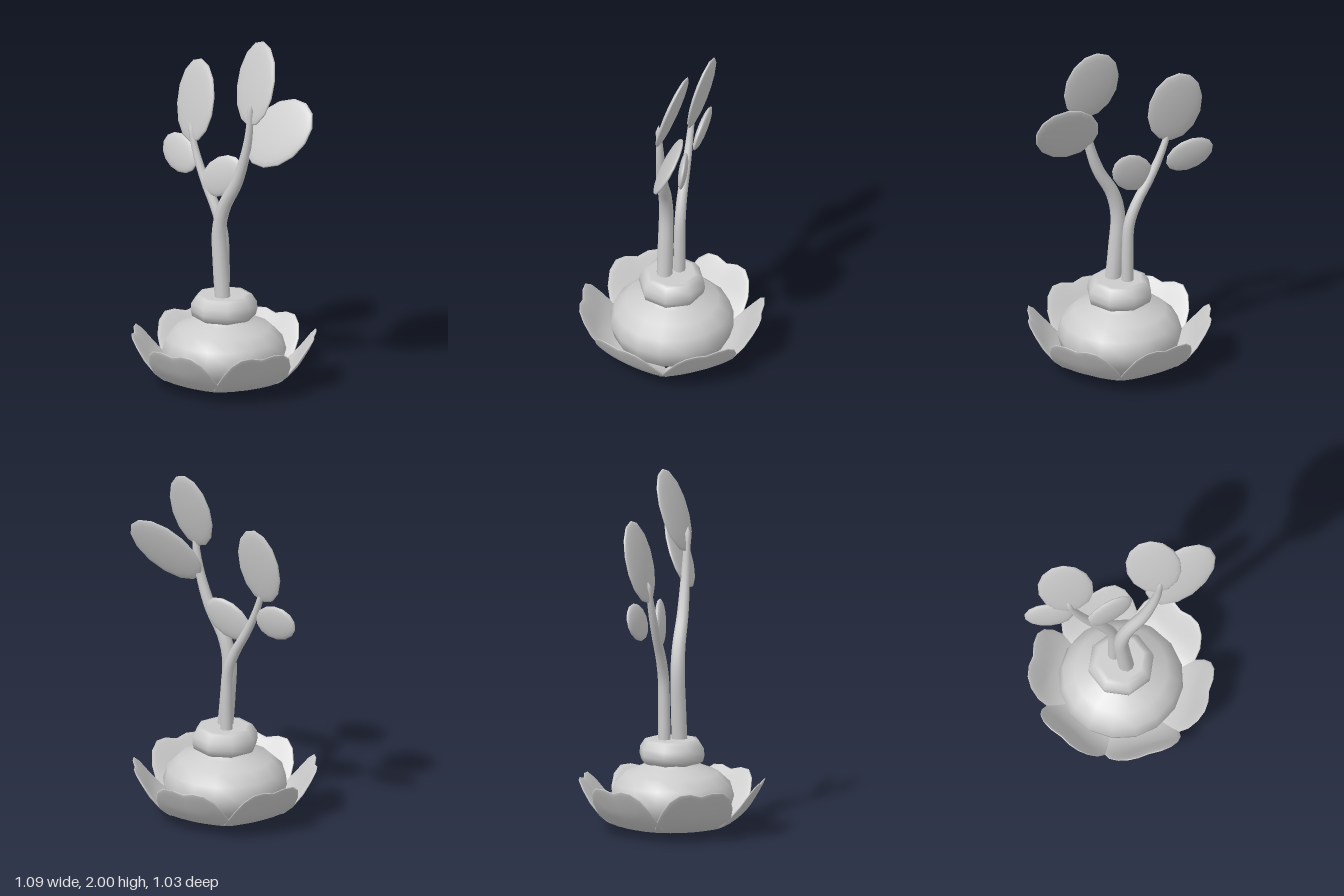
import * as THREE from 'three';
import { mergeVertices } from 'three/addons/utils/BufferGeometryUtils.js';

const material = new THREE.MeshStandardMaterial({ color: 0xcccccc });
const CENTRE_X = -0.018;

function addMesh(parent, name, geometry) {
  const mesh = new THREE.Mesh(geometry, material);
  mesh.name = name;
  parent.add(mesh);
  return mesh;
}

// Moves every vertex by a rule, then rebuilds seamless smooth normals.
function reshape(geometry, rule) {
  geometry.deleteAttribute('uv');
  geometry.deleteAttribute('normal');
  const result = mergeVertices(geometry, 1e-5);
  const pos = result.attributes.position;
  const v = new THREE.Vector3();
  for (let i = 0; i < pos.count; i++) {
    rule(v.fromBufferAttribute(pos, i));
    pos.setXYZ(i, v.x, v.y, v.z);
  }
  result.computeVertexNormals();
  return result;
}

function lathe(points, sides) {
  return new THREE.LatheGeometry(points.map(([r, y]) => new THREE.Vector2(r, y)), sides);
}

// Heart-tipped petal: a flattened ball bent along a rising curve.
function petalGeometry() {
  const curve = new THREE.CatmullRomCurve3([
    [0.17, 0.03], [0.30, 0.055], [0.40, 0.13], [0.46, 0.215], [0.51, 0.293],
  ].map(([r, y]) => new THREE.Vector3(0, y, r)));
  return reshape(new THREE.SphereGeometry(1, 20, 14), (v) => {
    const x = v.x;
    const z = v.z > 0 ? v.z * (1 + 0.55 * Math.abs(x)) : v.z;
    const s = THREE.MathUtils.clamp((z / 1.09 + 1) / 2, 0, 1);
    const p = curve.getPointAt(s);
    const t = curve.getTangentAt(s);
    const thick = 0.016 * v.y;
    v.set(x * 0.22, p.y + t.z * thick, p.z - t.y * thick - 0.015 * x * x);
  });
}

// Thick oval leaf: flattened ball, turned in the front plane, then leaned in depth.
function leafGeometry({ long, wide, turn, leanX, leanY }) {
  const ball = new THREE.SphereGeometry(1, 14, 10).rotateX(Math.PI / 2);
  const c = Math.cos(turn), s = Math.sin(turn);
  return reshape(ball, (v) => {
    const a = v.x * long, b = v.y * wide;
    const x = a * c - b * s, y = a * s + b * c;
    v.set(x, y, v.z * 0.025 + leanX * x + leanY * y);
  });
}

// Tapering stem with a rounded, closed tip.
function stemGeometry(points, baseRadius, tipRadius) {
  const path = new THREE.CatmullRomCurve3(points.map((p) => new THREE.Vector3(...p)));
  const rows = 28, sides = 10;
  const tube = new THREE.TubeGeometry(path, rows, 1, sides);
  const pos = tube.attributes.position;
  const v = new THREE.Vector3();
  for (let i = 0; i <= rows; i++) {
    const t = i / rows;
    const centre = path.getPointAt(t);
    const radius = i === rows ? 0 : THREE.MathUtils.lerp(baseRadius, tipRadius, t * t);
    for (let j = 0; j <= sides; j++) {
      const k = i * (sides + 1) + j;
      v.fromBufferAttribute(pos, k).sub(centre).multiplyScalar(radius).add(centre);
      pos.setXYZ(k, v.x, v.y, v.z);
    }
  }
  return reshape(tube, () => {});
}

export function createModel() {
  const model = new THREE.Group();
  model.name = 'sprout';

  // Bulb and the faceted collar on top of it
  const bulb = addMesh(model, 'bulb', lathe([
    [0, 0], [0.13, 0.008], [0.25, 0.04], [0.325, 0.11], [0.348, 0.19],
    [0.325, 0.27], [0.26, 0.33], [0.17, 0.365], [0.14, 0.39],
  ], 16));
  const collar = addMesh(model, 'collar', lathe([
    [0.13, 0.37], [0.178, 0.395], [0.187, 0.43], [0.183, 0.47],
    [0.155, 0.513], [0.13, 0.517], [0, 0.517],
  ], 8));
  bulb.position.x = collar.position.x = CENTRE_X;

  // Ring of six petals
  const petals = new THREE.Group();
  petals.name = 'petals';
  petals.position.x = CENTRE_X;
  const petal = petalGeometry();
  for (let i = 0; i < 6; i++) {
    addMesh(petals, 'petal', petal).rotation.y = THREE.MathUtils.degToRad(4 + i * 60);
  }
  model.add(petals);

  // Two curving stems
  addMesh(model, 'tallStem', stemGeometry([
    [0.005, 0.48, 0.038], [-0.015, 0.7, 0.036], [-0.025, 0.9, 0.034], [0.01, 1.04, 0.032],
    [0.1, 1.2, 0.03], [0.165, 1.4, 0.028], [0.19, 1.55, 0.03], [0.196, 1.68, 0.035],
  ], 0.045, 0.014));
  addMesh(model, 'shortStem', stemGeometry([
    [-0.05, 0.48, -0.035], [-0.05, 0.7, -0.037], [-0.06, 0.86, -0.038], [-0.11, 0.99, -0.04],
    [-0.18, 1.11, -0.045], [-0.235, 1.22, -0.05], [-0.28, 1.34, -0.055], [-0.31, 1.45, -0.06],
  ], 0.034, 0.014));

  // Leaves: position, half sizes, turn in the front plane and lean in depth
  const up = Math.PI / 2;
  const leaves = [
    { name: 'topLeaf', at: [0.178, 1.77, -0.04], long: 0.23, wide: 0.152, turn: up, leanX: 0.2, leanY: -0.3 },
    { name: 'sideLeaf', at: [0.335, 1.51, -0.05], long: 0.23, wide: 0.165, turn: 0.62, leanX: -0.03, leanY: -0.45 },
    { name: 'shortStemTopLeaf', at: [-0.308, 1.56, -0.11], long: 0.23, wide: 0.153, turn: up, leanX: 0.2, leanY: -0.22 },
    { name: 'outerSmallLeaf', at: [-0.407, 1.238, -0.095], long: 0.14, wide: 0.104, turn: -0.26, leanX: 0.1, leanY: -0.2 },
    { name: 'innerSmallLeaf', at: [-0.072, 1.18, -0.052], long: 0.152, wide: 0.105, turn: 0.65, leanX: -0.1, leanY: -0.12 },
  ];
  for (const leaf of leaves) {
    addMesh(model, leaf.name, leafGeometry(leaf)).position.set(...leaf.at);
  }
  return model;
}
